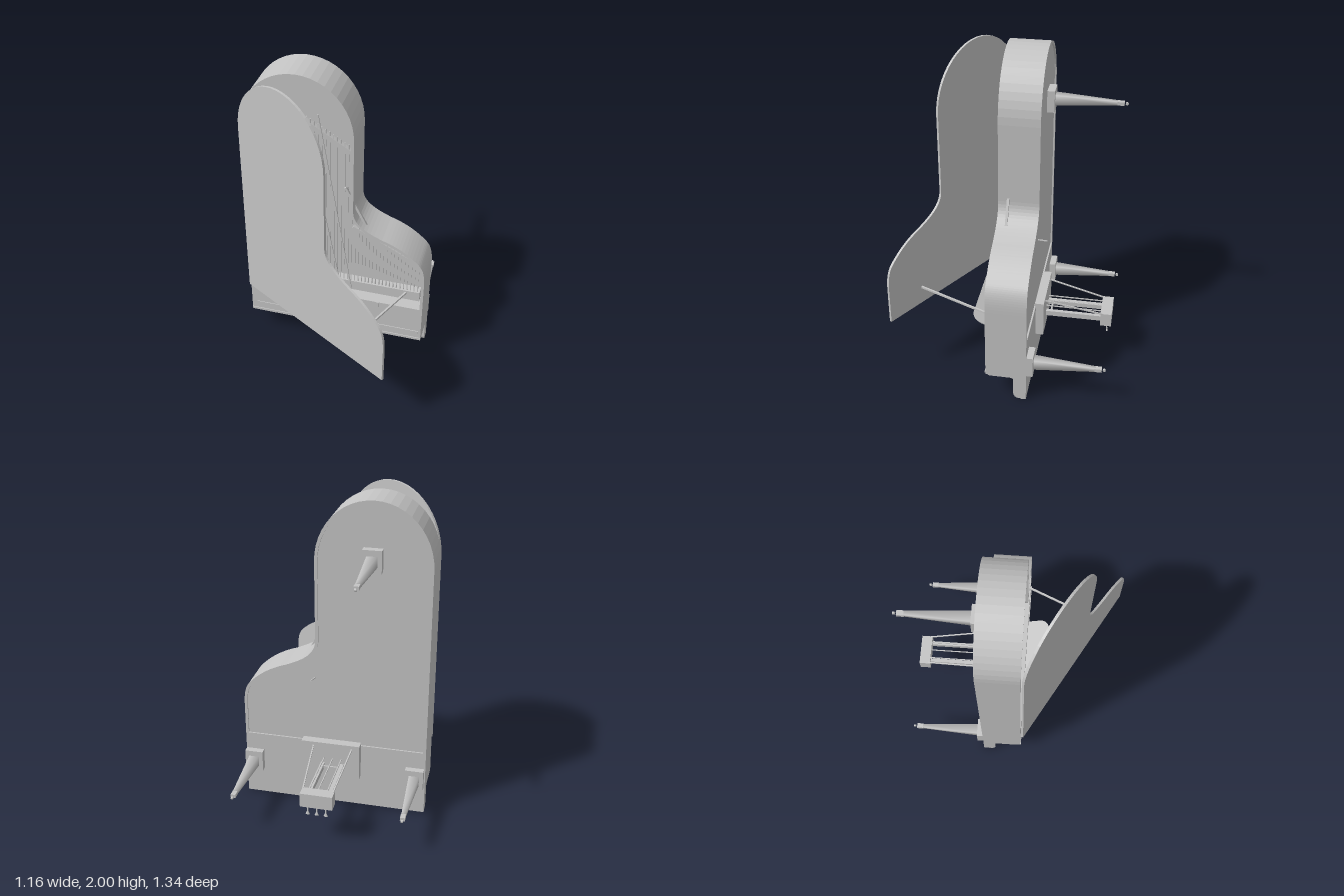
import * as THREE from 'three';

export function createModel() {
  const root = new THREE.Group();
  const grey = new THREE.MeshStandardMaterial({ color: 0xc4c4c4 });
  grey.name = 'plain grey';

  const add = (name, geo) => {
    const m = new THREE.Mesh(geo, grey);
    m.name = name;
    root.add(m);
    return m;
  };
  // box given by its limits on each axis
  const box = (name, x0, x1, y0, y1, z0, z1) => {
    const m = add(name, new THREE.BoxGeometry(x1 - x0, y1 - y0, z1 - z0));
    m.position.set((x0 + x1) / 2, (y0 + y1) / 2, (z0 + z1) / 2);
    return m;
  };
  // straight bar between two points
  const bar = (name, a, b, w, h = w) => {
    const p = new THREE.Vector3(...a), q = new THREE.Vector3(...b);
    const m = add(name, new THREE.BoxGeometry(w, h, p.distanceTo(q)));
    m.position.copy(p).add(q).multiplyScalar(0.5);
    m.lookAt(q);
    return m;
  };

  // grand piano outline, inset by t, starting at height y0
  const trace = (path, t, y0, sx = 1, ox = 0) => {
    const X = x => (x + ox) * sx;
    path.moveTo(X(-0.577 + t), y0);
    path.lineTo(X(0.577 - t), y0);
    path.lineTo(X(0.577 - t), 0.63);
    path.bezierCurveTo(X(0.577 - t), 0.72, X(0.565 - t), 0.765 - t * 0.4, X(0.53 - t * 0.8), 0.8 - t * 0.6);
    path.bezierCurveTo(X(0.46 - t * 0.5), 0.87 - t, X(0.39), 0.91 - t, X(0.3 - t * 0.3), 0.94 - t);
    path.bezierCurveTo(X(0.19 - t * 0.5), 0.985 - t, X(0.115 - t), 1.03, X(0.115 - t), 1.12);
    path.lineTo(X(0.115 - t), 1.62);
    path.absellipse(X(-0.231), 1.62, (0.346 - t) * sx, 0.38 - t, 0, Math.PI, false);
    path.lineTo(X(-0.577 + t), y0);
    return path;
  };
  const slab = (shape, depth) => new THREE.ExtrudeGeometry(shape, { depth, bevelEnabled: false, curveSegments: 12 });

  // Case: hollow rim with a solid shelf in front, and a floor
  const rim = trace(new THREE.Shape(), 0, 0.165);
  rim.holes.push(trace(new THREE.Path(), 0.018, 0.43));
  add('rim', slab(rim, 0.25)).position.z = -0.2;
  add('soundboard', slab(trace(new THREE.Shape(), 0.01, 0.42), 0.1)).position.z = -0.19;

  // Lid, hinged on the long side and opened thirty degrees
  const lid = add('lid', slab(trace(new THREE.Shape(), 0, 0.4, 1.042, 0.577), 0.015));
  lid.position.set(-0.573, 0, 0.056);
  lid.rotation.y = -Math.PI / 6;
  bar('lidProp', [0.455, 0.51, 0.0], [0.23, 0.515, 0.525], 0.012);

  // Cheeks beside the keyboard, drawn from the side
  for (const [x0, x1] of [[-0.577, -0.5], [0.5, 0.577]]) {
    const s = new THREE.Shape();
    s.moveTo(0.2, 0.19);
    s.lineTo(-0.045, 0.19);
    s.quadraticCurveTo(-0.045, 0.157, -0.02, 0.157);
    s.lineTo(0.1, 0.157);
    s.quadraticCurveTo(0.122, 0.157, 0.122, 0.135);
    s.lineTo(0.122, 0.04);
    s.quadraticCurveTo(0.125, 0.003, 0.16, 0.003);
    s.lineTo(0.2, 0.003);
    const cheek = add('cheek', slab(s, x1 - x0));
    cheek.rotation.y = Math.PI / 2;
    // shape x runs towards -z after the turn
    cheek.position.x = x0;
  }
  box('keybed', -0.577, 0.577, 0, 0.17, -0.2, -0.165);
  box('keySlip', -0.5, 0.5, 0, 0.018, -0.18, -0.128);
  for (const s of [-1, 1]) box('keyBlock', s * 0.47 - 0.03, s * 0.47 + 0.03, 0.018, 0.15, -0.18, -0.125);
  box('fallboardBack', -0.5, 0.5, 0.135, 0.17, -0.18, -0.02);
  const fallboard = box('fallboard', -0.5, 0.5, 0.122, 0.16, -0.012, 0.006);
  fallboard.rotation.x = -0.15;
  box('shelfMoulding', -0.577, 0.577, 0.175, 0.187, 0.035, 0.055);
  box('shelfStrip', -0.54, 0.56, 0.222, 0.244, 0.045, 0.055);

  // Keys
  const pitch = 0.88 / 52;
  for (let i = 0; i < 52; i++) {
    const x = -0.44 + i * pitch;
    box('whiteKey', x + 0.0008, x + pitch - 0.0008, 0.022, 0.14, -0.17, -0.14);
    if (i < 51 && ![1, 4].includes(i % 7))
      box('blackKey', x + pitch - 0.005, x + pitch + 0.005, 0.06, 0.14, -0.15, -0.128);
  }

  // Music desk with rounded upper corners, leaning forward from the shelf
  const desk = new THREE.Shape();
  desk.moveTo(-0.272, 0);
  desk.lineTo(0.275, 0);
  desk.lineTo(0.275, 0.09);
  desk.quadraticCurveTo(0.27, 0.155, 0.2, 0.16);
  desk.lineTo(-0.2, 0.16);
  desk.quadraticCurveTo(-0.268, 0.155, -0.272, 0.09);
  const deskMesh = add('musicDesk', slab(desk, 0.006));
  deskMesh.position.set(0, 0.28, 0.05);
  deskMesh.rotation.x = 1.14;
  for (const s of [-1, 1]) box('deskRail', s * 0.283 - 0.008, s * 0.283 + 0.008, 0.285, 0.43, 0.045, 0.054);

  // Strings: long ones up the left, short ones on the treble side
  for (let i = 0; i < 46; i++) {
    const x = -0.52 + i * 0.0232;
    const top = x < 0.085 ? 1.78 - Math.max(0, x + 0.35) * 0.6
      : 0.93 - Math.max(0, x - 0.2) * 0.5;
    box('string', x - 0.003, x + 0.003, 0.43, top, -0.045, -0.039);
  }
  for (let i = 0; i < 4; i++)
    bar('bassString', [-0.12 + i * 0.07, 0.45, -0.02], [-0.42 + i * 0.1, 1.72, -0.02], 0.008);
  bar('longBridge', [-0.45, 1.8, -0.05], [0.07, 1.48, -0.05], 0.03);
  bar('trebleBridge', [0.09, 0.93, -0.05], [0.5, 0.72, -0.05], 0.025);
  bar('plateBrace', [0.05, 1.25, -0.01], [0.2, 0.96, -0.01], 0.015);
  box('tuningRail', -0.54, 0.54, 0.43, 0.5, -0.09, -0.03);

  // Legs reach backwards, tapering to a square foot and a caster
  const leg = (x, y) => {
    box('legBlock', x - 0.057, x + 0.057, y - 0.068, y + 0.068, -0.24, -0.195);
    const g = new THREE.CylinderGeometry(0.032 * Math.SQRT2, 0.0125 * Math.SQRT2, 0.37, 4, 1);
    g.rotateY(Math.PI / 4).rotateX(Math.PI / 2);
    add('leg', g).position.set(x, y, -0.425);
    box('foot', x - 0.015, x + 0.015, y - 0.011, y + 0.011, -0.65, -0.608);
    const wheel = add('caster', new THREE.CylinderGeometry(0.009, 0.009, 0.012, 10));
    wheel.rotation.z = Math.PI / 2;
    wheel.position.set(x, y - 0.002, -0.665);
  };
  leg(-0.513, 0.25);
  leg(0.518, 0.25);
  leg(-0.23, 1.658);

  // Pedal lyre
  box('lyrePlate', -0.17, 0.197, 0.215, 0.45, -0.25, -0.195);
  box('lyreBox', -0.1, 0.096, 0.258, 0.348, -0.67, -0.6);
  for (const s of [-1, 1]) {
    box('lyrePillar', s * 0.062 - 0.012, s * 0.062 + 0.012, 0.278, 0.312, -0.61, -0.24);
    bar('lyreStrut', [s * 0.122, 0.425, -0.245], [s * 0.092, 0.345, -0.61], 0.008);
  }
  box('lyreCrossbar', -0.055, 0.055, 0.285, 0.305, -0.285, -0.275);
  for (const x of [-0.055, 0, 0.055]) {
    bar('pedalRod', [x, 0.342, -0.24], [x, 0.342, -0.61], 0.006);
    bar('pedalStem', [x, 0.26, -0.64], [x, 0.215, -0.643], 0.006);
    const pad = add('pedal', new THREE.CylinderGeometry(0.005, 0.013, 0.02, 8));
    pad.position.set(x, 0.205, -0.645);
    pad.scale.z = 0.5;
  }

  // Small hook under the case
  bar('hook', [0.118, 0.872, -0.195], [0.13, 0.877, -0.255], 0.006);

  return root;
}
